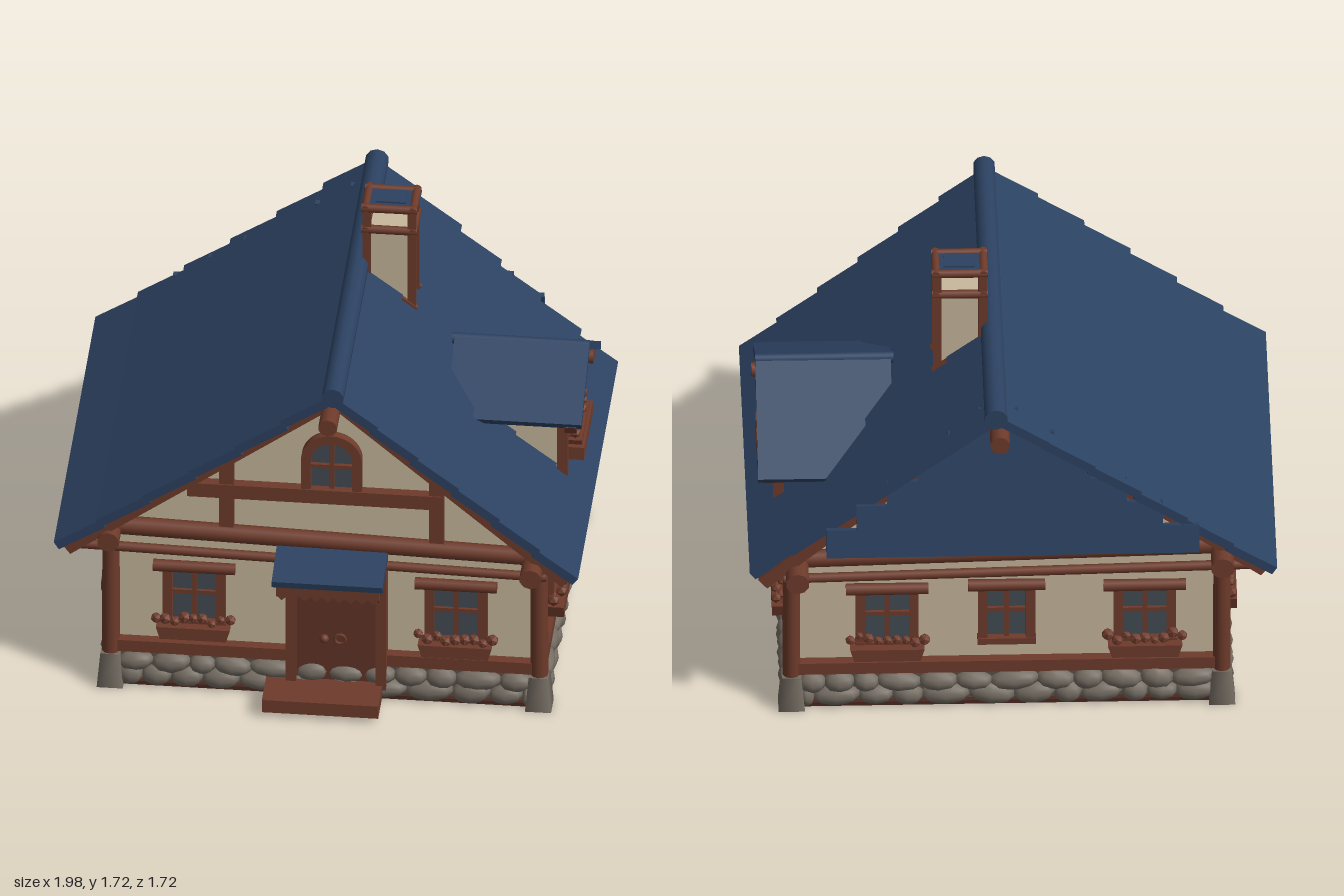
import * as THREE from 'three';

const mat = (name, color, side = THREE.FrontSide) => {
  const m = new THREE.MeshStandardMaterial({ color, side });
  m.name = name;
  return m;
};
const V = (x, y, z) => new THREE.Vector3(x, y, z);

export function createModel() {
  const house = new THREE.Group();
  house.name = 'cottage';
  const blue = mat('roof blue', 0x2c4262), cream = mat('cream plaster', 0xc8b99d);
  const wood = mat('timber brown', 0x6e3b2b), stone = mat('stone grey', 0x756d63);
  const mortar = mat('mortar grey', 0x5a534b), glass = mat('window slate', 0x434c54);
  const doorMat = mat('door brown', 0x603427), floorMat = mat('floor brown', 0x4a2820);
  let seed = 7;
  const rnd = () => (seed = (seed * 16807) % 2147483647) / 2147483647;

  // Shared building helpers
  const add = (parent, name, geo, m, x = 0, y = 0, z = 0) => {
    const o = new THREE.Mesh(geo, m);
    o.name = name;
    o.position.set(x, y, z);
    parent.add(o);
    return o;
  };
  const box = (parent, name, m, x0, x1, y0, y1, z0, z1) => add(parent, name,
    new THREE.BoxGeometry(x1 - x0, y1 - y0, z1 - z0), m, (x0 + x1) / 2, (y0 + y1) / 2, (z0 + z1) / 2);
  const log = (parent, name, p, q, r, m = wood) => {
    const geo = new THREE.CylinderGeometry(r, r * 1.06, p.distanceTo(q), 10).rotateX(Math.PI / 2);
    const o = new THREE.Mesh(geo, m);
    o.name = name;
    o.position.copy(p).add(q).multiplyScalar(0.5);
    o.lookAt(q);
    parent.add(o);
    return o;
  };
  // Board whose section runs from a to b in the xy plane
  const slab = (parent, name, m, a, b, t, z0, z1) => {
    const len = Math.hypot(b[0] - a[0], b[1] - a[1]);
    const o = add(parent, name, new THREE.BoxGeometry(len, t, z1 - z0), m,
      (a[0] + b[0]) / 2, (a[1] + b[1]) / 2, (z0 + z1) / 2);
    o.rotation.z = Math.atan2(b[1] - a[1], b[0] - a[0]);
    return o;
  };
  const prism = (parent, name, m, pts, z0, z1) => add(parent, name, new THREE.ExtrudeGeometry(
    new THREE.Shape(pts.map(p => new THREE.Vector2(...p))), { depth: z1 - z0, bevelEnabled: false }), m, 0, 0, z0);

  // Foundation: mortar core, rounded stones, tapered corner blocks
  box(house, 'foundation', mortar, -0.79, 0.83, 0.012, 0.15, -0.64, 0.64);
  box(house, 'floor', floorMat, -0.81, 0.85, 0.004, 0.02, -0.66, 0.66);
  const stoneRow = (len, place) => {
    for (let row = 0; row < 2; row++) {
      let s = -len / 2;
      while (s < len / 2 - 0.02) {
        const w = Math.min(0.09 + rnd() * 0.09, len / 2 - s), h = 0.075 + rnd() * 0.02;
        const o = add(house, 'foundationStone', new THREE.SphereGeometry(0.5, 8, 6), stone);
        o.scale.set(w * 1.12, h, 0.08);
        place(o, s + w / 2, row ? 0.108 : 0.05);
        o.rotation.z = (rnd() - 0.5) * 0.3;
        s += w;
      }
    }
  };
  for (const s of [1, -1]) {
    stoneRow(1.56, (o, u, y) => o.position.set(0.02 + u, y, s * 0.648));
    stoneRow(1.2, (o, u, y) => { o.position.set(0.02 + s * 0.818, y, u); o.rotation.y = Math.PI / 2; });
  }
  for (const x of [-0.79, 0.83]) for (const z of [-0.64, 0.64]) {
    add(house, 'cornerStone', new THREE.CylinderGeometry(0.052, 0.07, 0.145, 4).rotateY(Math.PI / 4), stone, x, 0.073, z);
    log(house, 'cornerPost', V(x, 0.14, z), V(x, 0.7, z), 0.033);
  }

  // Plastered body with both gables
  prism(house, 'walls', cream, [[-0.78, 0.14], [0.82, 0.14], [0.82, 0.73], [0.06, 1.39], [-0.78, 0.77]], -0.62, 0.62);

  // Sill, plate and gable timbers
  for (const s of [1, -1]) {
    const z = s * 0.635;
    box(house, 'sillBeam', wood, -0.79, 0.83, 0.15, 0.2, z - 0.025, z + 0.025);
    log(house, 'gablePlate', V(-0.8, 0.715, s * 0.645), V(0.83, 0.675, s * 0.645), 0.034);
    log(house, 'lowerPlate', V(-0.95, 0.63, s * 0.66), V(0.86, 0.595, s * 0.66), 0.018);
    box(house, 'collarBeam', wood, -0.5, 0.47, 0.87, 0.93, z - 0.025, z + 0.025);
    box(house, 'gableStud', wood, -0.38, -0.325, 0.72, 1.08, z - 0.02, z + 0.02);
    box(house, 'gableStud', wood, 0.415, 0.47, 0.7, 1.04, z - 0.02, z + 0.02);
    slab(house, 'bargeRafter', wood, [0.06, 1.385], [-0.95, 0.645], 0.05, s * 0.7 - 0.03, s * 0.7 + 0.03);
    slab(house, 'bargeRafter', wood, [0.06, 1.385], [0.94, 0.62], 0.05, s * 0.7 - 0.03, s * 0.7 + 0.03);
    const x = 0.02 + s * 0.81;
    box(house, 'sideSill', wood, x - 0.025, x + 0.025, 0.15, 0.2, -0.64, 0.64);
    box(house, 'sidePlate', wood, x - 0.025, x + 0.025, 0.6, 0.66, -0.64, 0.64);
    for (const zz of [0.45, -0.44]) {
      log(house, 'eaveBracket', V(x + s * 0.05, 0.52, zz), V(x + s * 0.05, 0.63, zz), 0.013);
      add(house, 'bracketKnob', new THREE.SphereGeometry(0.02, 8, 6), wood, x + s * 0.05, 0.52, zz);
    }
  }
  log(house, 'ridgeLog', V(0.05, 1.335, -0.86), V(0.05, 1.335, 0.84), 0.036);
  log(house, 'eavePurlin', V(-0.79, 0.7, -0.79), V(-0.79, 0.7, 0.75), 0.042);
  log(house, 'eavePurlin', V(0.81, 0.66, -0.79), V(0.81, 0.66, 0.78), 0.042);
  for (let i = 0; i < 14; i++) {
    const z = -0.64 + i * 0.1;
    log(house, 'rafterTail', V(0.75, 0.75, z), V(0.945, 0.635, z), 0.024);
    log(house, 'rafterTail', V(-0.75, 0.78, z), V(-0.945, 0.66, z), 0.024);
  }

  // Main roof of overlapping boards, each lifted a little at its lower edge
  const slope = (eave, backEnd) => {
    const n = 6, top = [0.06, 1.435], at = (t, d) => [top[0] + (eave[0] - top[0]) * t, top[1] + (eave[1] - top[1]) * t + d];
    for (let i = 0; i < n; i++) {
      const t = (i + 0.5) / n, j = (rnd() - 0.5) * 0.02;
      slab(house, 'roofBoard', blue, at(i / n, -0.008), at(Math.min(1, (i + 1.08) / n), 0.01), 0.036,
        -0.83 + (0.83 + backEnd) * t + j, 0.795 - 0.045 * t + j);
    }
  };
  slope([-0.985, 0.665], -0.77);
  slope([0.978, 0.638], -0.71);
  log(house, 'ridgeCap', V(0.065, 1.437, -0.835), V(0.065, 1.447, 0.805), 0.042, blue);

  // Lapped boards closing the upper back gable
  for (let i = 0; i < 6; i++) {
    const y = 0.79 + i * 0.1, d = -0.8 + i * 0.014;
    const xl = 0.06 - (1.4 - y - 0.05) / 0.736, xr = 0.06 + (1.4 - y - 0.05) / 0.871;
    const o = box(house, 'gableBoard', blue, xl, xr, y, y + 0.115, d, d + 0.022);
    o.rotation.x = 0.2;
  }

  // Window facing +z, origin at the middle of the glass
  const windowUnit = (parent, x, y, z, ry, w, h, planter = true) => {
    const g = new THREE.Group();
    g.name = 'window';
    g.position.set(x, y, z);
    g.rotation.y = ry;
    parent.add(g);
    const a = w / 2, b = h / 2;
    box(g, 'glass', glass, -a, a, -b, b, 0, 0.009);
    for (const s of [-1, 1]) box(g, 'windowJamb', wood, s * a - 0.018, s * a + 0.018, -b, b, 0, 0.035);
    box(g, 'mullion', wood, -0.009, 0.009, -b, b, 0, 0.022);
    box(g, 'glazingBar', wood, -a, a, 0.005, 0.021, 0, 0.02);
    box(g, 'windowSill', wood, -a - 0.02, a + 0.02, -b - 0.015, -b + 0.012, 0, 0.04);
    log(g, 'windowHeader', V(-a - 0.055, b + 0.01, 0.025), V(a + 0.055, b + 0.01, 0.025), 0.022);
    if (!planter) return;
    prism(g, 'planterBox', wood, [[-a - 0.025, -b - 0.05], [a + 0.025, -b - 0.05], [a + 0.04, -b + 0.002], [-a - 0.04, -b + 0.002]], 0, 0.075);
    for (let i = 0; i < 9; i++) add(g, 'flower', new THREE.IcosahedronGeometry(0.016 + rnd() * 0.009, 0), wood,
      -a - 0.04 + (i / 8) * (w + 0.08), -b + 0.015 + rnd() * 0.03, 0.03 + rnd() * 0.04);
  };
  const P = Math.PI;
  windowUnit(house, -0.475, 0.41, 0.62, 0, 0.2, 0.24);
  windowUnit(house, 0.515, 0.395, 0.62, 0, 0.2, 0.24);
  for (const z of [0.24, -0.245]) {
    windowUnit(house, 0.82, 0.39, z, P / 2, 0.2, 0.24);
    windowUnit(house, -0.78, 0.39, z, -P / 2, 0.2, 0.24);
  }
  windowUnit(house, 0.47, 0.4, -0.62, P, 0.2, 0.24);
  windowUnit(house, 0.02, 0.41, -0.62, P, 0.18, 0.24, false);
  windowUnit(house, -0.5, 0.4, -0.62, P, 0.2, 0.24);

  // Arched gable window
  const arch = (r, foot) => {
    const s = new THREE.Shape().moveTo(-r, foot).lineTo(r, foot).lineTo(r, 0);
    return s.absarc(0, 0, r, 0, P, false);
  };
  const ring = arch(0.115, -0.14);
  ring.holes.push(arch(0.078, -0.13));
  add(house, 'archFrame', new THREE.ExtrudeGeometry(ring, { depth: 0.035, bevelEnabled: false }), wood, 0.045, 1.06, 0.62);
  add(house, 'archGlass', new THREE.ExtrudeGeometry(arch(0.09, -0.13), { depth: 0.008, bevelEnabled: false }), glass, 0.045, 1.06, 0.62);
  box(house, 'archMullion', wood, 0.036, 0.054, 0.93, 1.14, 0.62, 0.643);
  box(house, 'archBar', wood, -0.04, 0.13, 1.02, 1.036, 0.62, 0.643);

  // Door, step and canopy with a scalloped valance
  box(house, 'door', doorMat, -0.09, 0.215, 0.06, 0.6, 0.6, 0.665);
  for (const x of [-0.105, 0.235]) box(house, 'doorPost', wood, x - 0.02, x + 0.02, 0.06, 0.62, 0.6, 0.69);
  box(house, 'doorStep', wood, -0.2, 0.24, 0.025, 0.08, 0.62, 0.83);
  add(house, 'doorKnob', new THREE.SphereGeometry(0.018, 10, 8), wood, 0.02, 0.27, 0.675);
  add(house, 'doorRing', new THREE.TorusGeometry(0.02, 0.006, 6, 14), wood, 0.08, 0.27, 0.672);
  const canopy = new THREE.Group();
  canopy.name = 'doorCanopy';
  canopy.rotation.y = -P / 2;
  house.add(canopy);
  slab(canopy, 'canopyRoof', blue, [0.61, 0.675], [0.858, 0.625], 0.028, -0.26, 0.16);
  canopy.children[0].position.z = -0.05;
  const scallop = (len, n) => {
    const pts = [[len, 0.625], [0, 0.625]];
    for (let i = 0; i <= n * 2; i++) pts.push([(i / (n * 2)) * len, i % 2 ? 0.548 : 0.57]);
    return pts;
  };
  prism(house, 'frontValance', wood, scallop(0.39, 9), 0.825, 0.845).position.x = -0.145;
  for (const z of [-0.245, 0.125]) prism(canopy, 'sideValance', wood, scallop(0.22, 5), z, z + 0.02).position.x = 0.625;

  // Dormer, built facing +z and turned to face +x
  const dormer = new THREE.Group();
  dormer.name = 'dormer';
  dormer.rotation.y = P / 2;
  house.add(dormer);
  prism(dormer, 'dormerWall', cream, [[-0.17, 0.72], [0.24, 0.72], [0.24, 1.0], [0.05, 1.13], [-0.17, 1.0]], 0.45, 0.86);
  slab(dormer, 'dormerRoof', blue, [0.045, 1.18], [-0.26, 1.015], 0.03, 0.44, 0.95);
  slab(dormer, 'dormerRoof', blue, [0.045, 1.18], [0.46, 0.905], 0.03, 0.44, 0.95);
  log(dormer, 'dormerRidgeCap', V(0.05, 1.178, 0.43), V(0.05, 1.178, 0.95), 0.02, blue);
  slab(dormer, 'dormerRafter', wood, [0.05, 1.145], [-0.25, 0.99], 0.04, 0.885, 0.93);
  slab(dormer, 'dormerRafter', wood, [0.05, 1.145], [0.44, 0.89], 0.04, 0.885, 0.93);
  log(dormer, 'dormerRidgeLog', V(0.05, 1.13, 0.5), V(0.05, 1.13, 0.965), 0.027);
  for (const [u, top] of [[-0.165, 1.0], [0.235, 1.0], [0.32, 0.95]])
    box(dormer, 'dormerPost', wood, u - 0.017, u + 0.017, 0.73, top, 0.85, 0.89);
  windowUnit(dormer, 0.045, 0.915, 0.86, 0, 0.2, 0.15);
  box(dormer, 'dormerPlanter', wood, -0.11, 0.21, 0.765, 0.82, 0.86, 0.945);

  // Chimney with an open lantern top
  box(house, 'chimneyStack', cream, 0.095, 0.275, 1.15, 1.6, -0.25, -0.115);
  for (const x of [0.1, 0.27]) for (const z of [-0.245, -0.12])
    box(house, 'chimneyPost', wood, x - 0.016, x + 0.016, 1.2, 1.7, z - 0.014, z + 0.014);
  for (const y of [1.605, 1.7]) {
    for (const z of [-0.25, -0.115]) log(house, 'chimneyRail', V(0.08, y, z), V(0.29, y, z), 0.016);
    for (const x of [0.095, 0.275]) log(house, 'chimneyRail', V(x, y, -0.265), V(x, y, -0.1), 0.016);
  }
  box(house, 'chimneyCap', blue, 0.095, 0.275, 1.69, 1.708, -0.25, -0.115);
  box(house, 'chimneyCapInset', blue, 0.13, 0.245, 1.7, 1.715, -0.222, -0.143);
  for (const s of [-1, 1]) slab(house, 'chimneyFlashing', wood, [0.09, 1.405], [0.285, 1.255], 0.03, -0.1825 + s * 0.072 - 0.01, -0.1825 + s * 0.072 + 0.01);

  return house;
}
